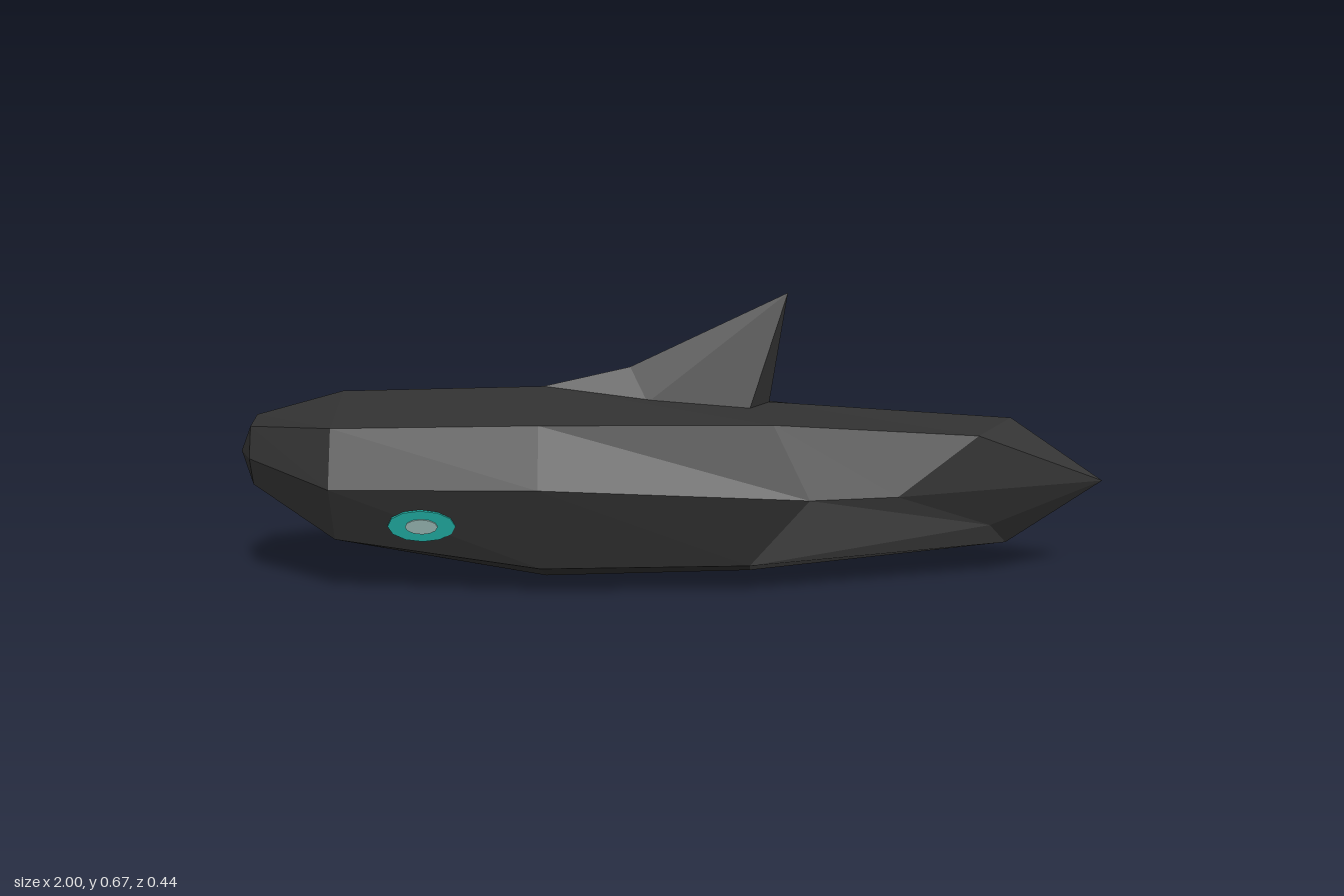
import * as THREE from 'three';

const CZ = 0.005; // keel plane

function flatMesh(name, tris, material) {
  const g = new THREE.BufferGeometry();
  g.setAttribute('position', new THREE.Float32BufferAttribute(tris.flat(2), 3));
  g.computeVertexNormals();
  const m = new THREE.Mesh(g, material);
  m.name = name;
  return m;
}

// Mirror a point to side s, and turn triangles so they keep facing outwards
const place = (s, [x, y, z]) => [x, y, CZ + s * z];
const orient = (s, tris) => tris.map(([a, b, c]) =>
  (s > 0 ? [a, b, c] : [a, c, b]).map(p => place(s, p)));

export function createModel() {
  const mat = (name, color) => {
    const m = new THREE.MeshStandardMaterial({ color, flatShading: true });
    m.name = name;
    return m;
  };
  const hullMat = mat('charcoal', 0x303030);
  const panelMat = mat('grey', 0x4a4a4a);
  const tealMat = mat('teal', 0x22b5aa);
  const paleMat = mat('pale grey', 0x9fbfbb);

  const model = new THREE.Group();
  model.name = 'finnedHull';

  const nose = [-1, 0.305, 0];
  const tail = [1, 0.23, 0];

  // Long edges of one half hull, nose to tail: top, upper, middle, lower, keel
  const edges = (midY) => [
    [[-0.96, 0.39, 0], [-0.76, 0.445, 0], [-0.3, 0.455, 0], [0.22, 0.418, 0], [0.78, 0.38, 0]],
    [[-0.96, 0.375, 0.065], [-0.76, 0.388, 0.16], [-0.3, 0.395, 0.167], [0.22, 0.393, 0.155], [0.69, 0.355, 0.09]],
    [[-0.96, 0.305, 0.09], [-0.76, midY, 0.21], [-0.3, midY, 0.22], [0.3, 0.23, 0.193], [0.5, 0.23, 0.16]],
    [[-0.96, 0.24, 0.065], [-0.76, 0.135, 0.16], [-0.3, 0.067, 0.166], [0.17, 0.072, 0.162], [0.73, 0.138, 0.056]],
    [[-0.96, 0.22, 0], [-0.76, 0.085, 0], [-0.3, 0.003, 0], [0.18, 0.015, 0], [0.78, 0.082, 0]],
  ];

  for (const s of [1, -1]) {
    const side = s > 0 ? 'left' : 'right';
    const e = edges(s > 0 ? 0.26 : 0.232);
    const hull = [], panel = [];
    for (let j = 0; j < 4; j++) {
      hull.push([nose, e[j + 1][0], e[j][0]], [e[j][4], e[j + 1][4], tail]);
      for (let i = 0; i < 4; i++) {
        const a = e[j][i], b = e[j][i + 1], c = e[j + 1][i + 1], d = e[j + 1][i];
        // lower rear faces form the lighter panel
        (i === 3 && j >= 2 ? panel : hull).push([a, d, c], [a, c, b]);
      }
    }
    model.add(flatMesh(side + 'Hull', orient(s, hull), hullMat));
    model.add(flatMesh(side + 'BellyPanel', orient(s, panel), panelMat));

    // Half of the swept dorsal fin
    const front = [-0.3, 0.455, 0], kink = [-0.1, 0.5, 0], tip = [0.26, 0.67, 0];
    const rear = [0.22, 0.415, 0], foot = [-0.06, 0.425, 0.046], heel = [0.17, 0.403, 0.055];
    model.add(flatMesh(side + 'Fin', orient(s, [
      [front, foot, kink], [kink, foot, tip], [foot, heel, tip], [heel, rear, tip],
    ]), hullMat));

    // Eye: two thin oval plates lying on the sloped side
    const eye = new THREE.Group();
    eye.name = side + 'Eye';
    const oval = (name, rx, ry, lift, material) => {
      const g = new THREE.CylinderGeometry(1, 1, 0.009, 12);
      g.rotateX(Math.PI / 2).scale(rx, ry, 1).translate(0, 0, lift);
      const m = new THREE.Mesh(g, material);
      m.name = name;
      eye.add(m);
    };
    oval('iris', 0.075, 0.04, 0, tealMat);
    oval('pupil', 0.036, 0.019, 0.003, paleMat);
    eye.position.set(-0.56, 0.175, s > 0 ? 0.195 : -0.189);
    eye.rotation.order = 'YXZ';
    eye.rotation.set(0.31, s > 0 ? 0 : Math.PI, 0);
    model.add(eye);
  }
  return model;
}
